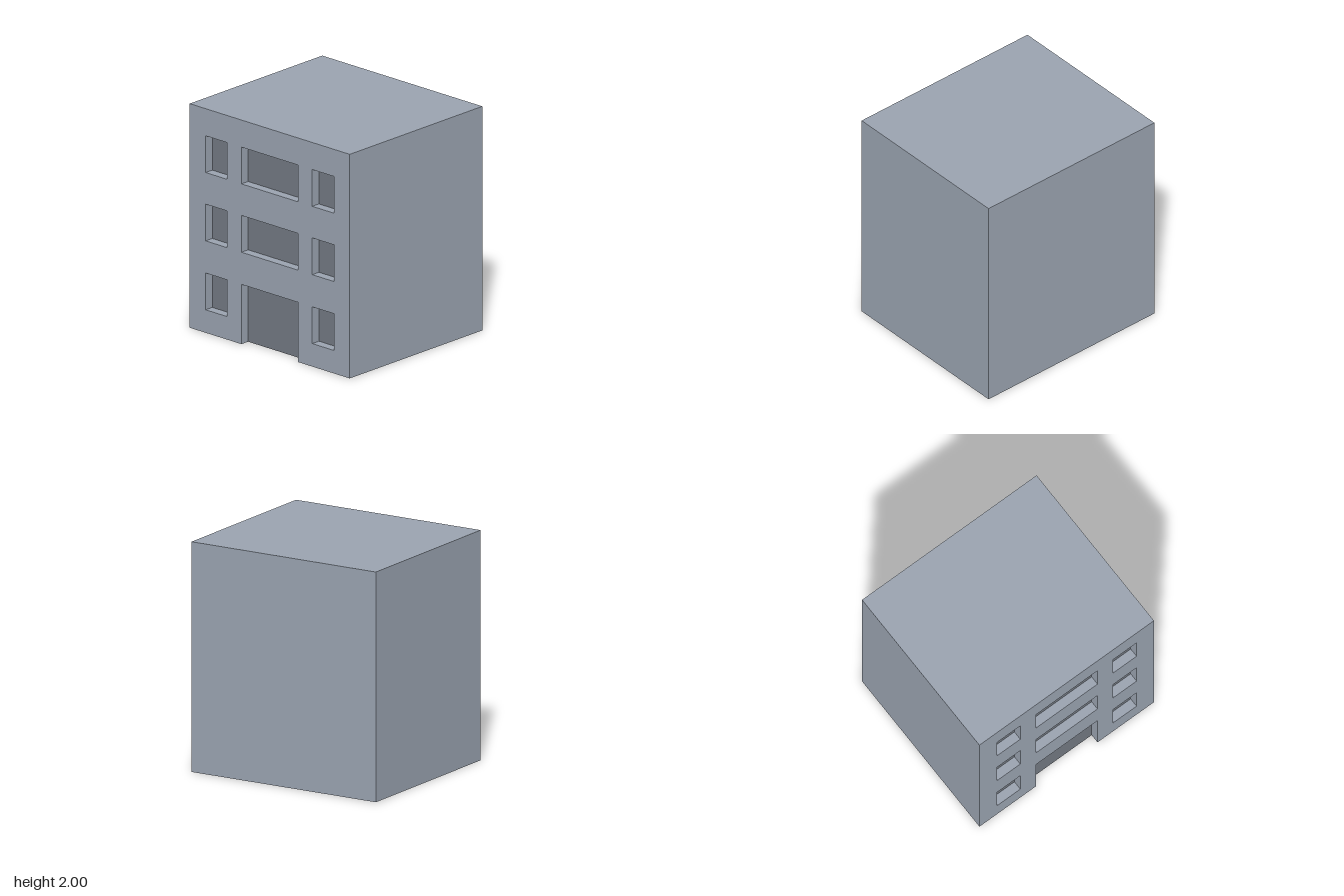
import * as THREE from 'three';

const W = 1.84, H = 2, D = 1.63, RECESS = 0.082;
const PX = 0, NX = 1, PY = 2, NY = 3, NZ = 5; // box face order

const wallPaint = new THREE.MeshStandardMaterial({ color: 0x9aa3b0 });
const panePaint = new THREE.MeshStandardMaterial({ color: 0x737982 });

// Box keeping only the listed faces, optionally turned to face inward
function boxFaces(w, h, d, faces, inward = false) {
  const geo = new THREE.BoxGeometry(w, h, d);
  const all = Array.from(geo.index.array);
  const index = [];
  for (const f of faces) {
    const part = all.slice(f * 6, f * 6 + 6);
    index.push(...(inward ? part.reverse() : part));
  }
  geo.setIndex(index);
  geo.clearGroups();
  if (inward) {
    const n = geo.attributes.normal;
    for (let i = 0; i < n.count; i++) n.setXYZ(i, -n.getX(i), -n.getY(i), -n.getZ(i));
  }
  return geo;
}

function polygon(points) {
  return new THREE.Shape(points.map(([x, y]) => new THREE.Vector2(x, y)));
}

function addMesh(parent, name, geo, material, x = 0, y = 0, z = 0) {
  const mesh = new THREE.Mesh(geo, material);
  mesh.name = name;
  mesh.position.set(x, y, z);
  parent.add(mesh);
}

export function createModel() {
  const building = new THREE.Group();
  building.name = 'building';
  const front = D / 2, side = W / 2;
  const doorHalf = 0.325, doorTop = 0.533;

  // Side walls, roof and back wall
  addMesh(building, 'wallsAndRoof', boxFaces(W, H, D, [PX, NX, PY, NZ]), wallPaint, 0, H / 2, 0);

  // Window openings: three storeys of side windows, wide middle ones upstairs
  const openings = [];
  [0.205, 0.82, 1.43].forEach((sill, storey) => {
    const head = sill + 0.328;
    for (const s of [-1, 1]) {
      openings.push({ name: 'sideWindow', x: s * 0.613, w: 0.248, y0: sill, y1: head });
    }
    if (storey > 0) openings.push({ name: 'wideWindow', x: 0, w: doorHalf * 2, y0: sill, y1: head });
  });

  // Front wall, notched for the entrance and pierced for the windows
  const facade = polygon([
    [-side, 0], [-doorHalf, 0], [-doorHalf, doorTop], [doorHalf, doorTop],
    [doorHalf, 0], [side, 0], [side, H], [-side, H],
  ]);
  for (const o of openings) {
    const l = o.x - o.w / 2, r = o.x + o.w / 2;
    facade.holes.push(polygon([[l, o.y0], [l, o.y1], [r, o.y1], [r, o.y0]]));
  }
  addMesh(building, 'frontWall', new THREE.ShapeGeometry(facade), wallPaint, 0, 0, front);

  // Underside, with the entrance recess cut out of its front edge
  const base = polygon([
    [-side, -front], [side, -front], [side, front], [doorHalf, front],
    [doorHalf, front - RECESS], [-doorHalf, front - RECESS], [-doorHalf, front], [-side, front],
  ]);
  const baseGeo = new THREE.ShapeGeometry(base).rotateX(Math.PI / 2);
  addMesh(building, 'underside', baseGeo, wallPaint);

  // Recess reveals and the panes behind them; the entrance has no sill
  const entrance = { name: 'entrance', x: 0, w: doorHalf * 2, y0: 0, y1: doorTop };
  for (const o of [...openings, entrance]) {
    const h = o.y1 - o.y0;
    const recess = new THREE.Group();
    recess.name = o.name;
    recess.position.set(o.x, o.y0 + h / 2, front - RECESS / 2);
    const reveals = o === entrance ? [PX, NX, PY] : [PX, NX, PY, NY];
    addMesh(recess, 'reveal', boxFaces(o.w, h, RECESS, reveals, true), wallPaint);
    addMesh(recess, 'pane', new THREE.PlaneGeometry(o.w, h), panePaint, 0, 0, -RECESS / 2);
    building.add(recess);
  }
  return building;
}
